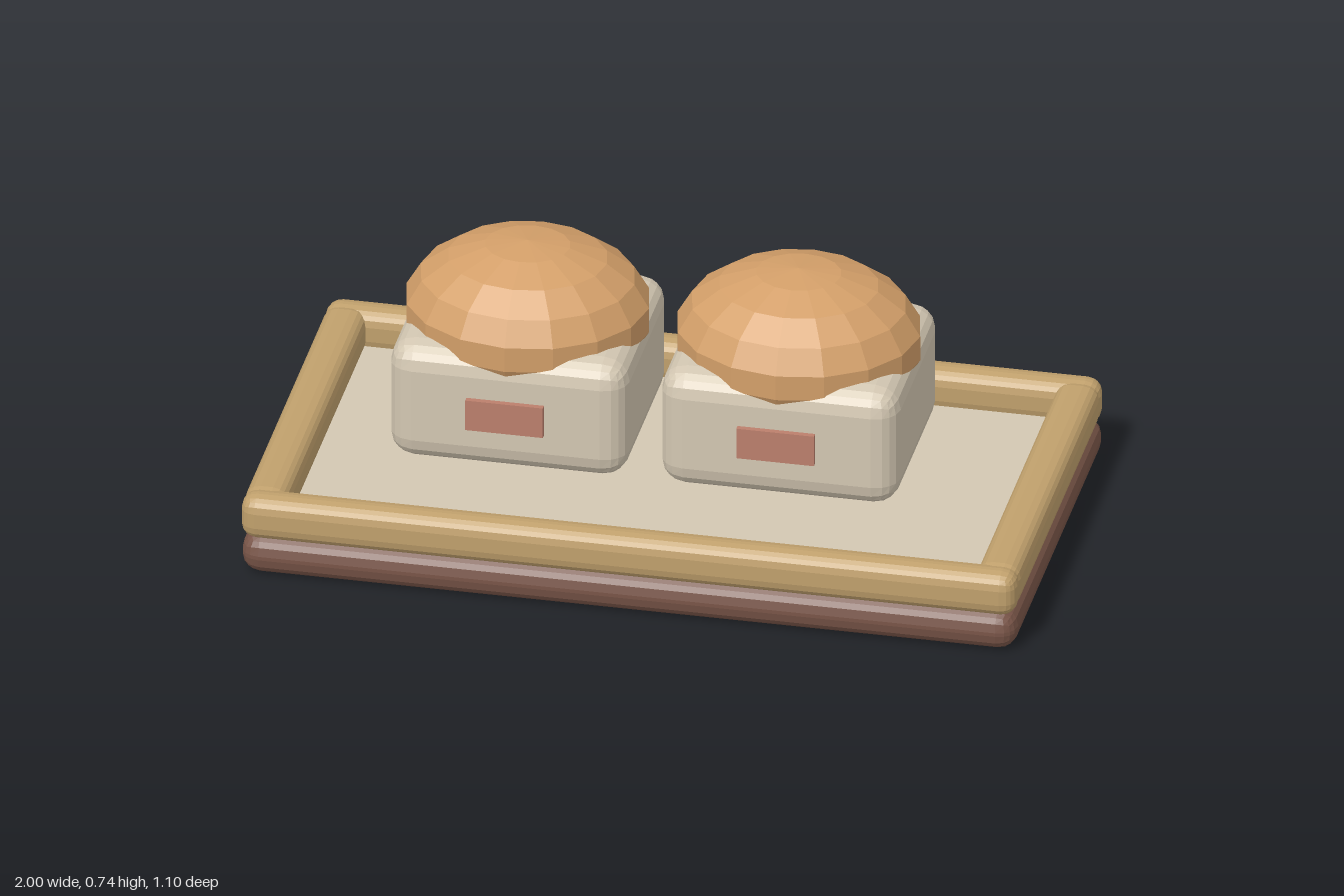
import * as THREE from 'three';
import { RoundedBoxGeometry } from 'three/addons/geometries/RoundedBoxGeometry.js';

const material = (name, color) => {
  const m = new THREE.MeshStandardMaterial({ color });
  m.name = name;
  m.flatShading = true;
  return m;
};

export function createModel() {
  const group = new THREE.Group();
  const brown = material('dark wood', 0x795548);
  const wood = material('light wood', 0xc0a06c);
  const cream = material('cream', 0xd3c7b2);
  const crust = material('crust', 0xd39f69);
  const clay = material('clay red', 0xbb7f6c);

  const add = (parent, name, geometry, mat, x, y, z) => {
    const mesh = new THREE.Mesh(geometry, mat);
    mesh.name = name;
    mesh.position.set(x, y, z);
    parent.add(mesh);
    return mesh;
  };
  const rounded = (w, h, d, r) => new RoundedBoxGeometry(w, h, d, 2, r);

  // Tray: base, lining and four rails
  add(group, 'trayBase', rounded(2, 0.11, 1.1, 0.05), brown, 0, 0.055, 0);
  add(group, 'trayLining', new THREE.BoxGeometry(1.84, 0.03, 0.96), cream, 0, 0.11, 0);
  for (const s of [1, -1]) {
    add(group, s > 0 ? 'frontRail' : 'backRail', rounded(2, 0.12, 0.093, 0.04), wood, 0, 0.16, s * 0.504);
    add(group, s > 0 ? 'leftRail' : 'rightRail', rounded(0.112, 0.12, 1.02, 0.04), wood, s * 0.944, 0.16, 0);
  }

  // Two wrapped buns with a label plate on the front
  for (const [side, x] of [['right', -0.372], ['left', 0.327]]) {
    const bun = new THREE.Group();
    bun.name = side + 'Bun';
    bun.position.x = x;
    group.add(bun);
    add(bun, 'wrapper', rounded(0.615, 0.328, 0.544, 0.065), cream, 0, 0.383, 0);
    const dome = add(bun, 'bunTop', new THREE.SphereGeometry(1, 16, 9), crust, 0, 0.547, 0);
    dome.scale.set(0.318, 0.196, 0.283);
    add(bun, 'label', new THREE.BoxGeometry(0.2, 0.085, 0.016), clay, 0, 0.381, 0.279);
  }
  return group;
}
